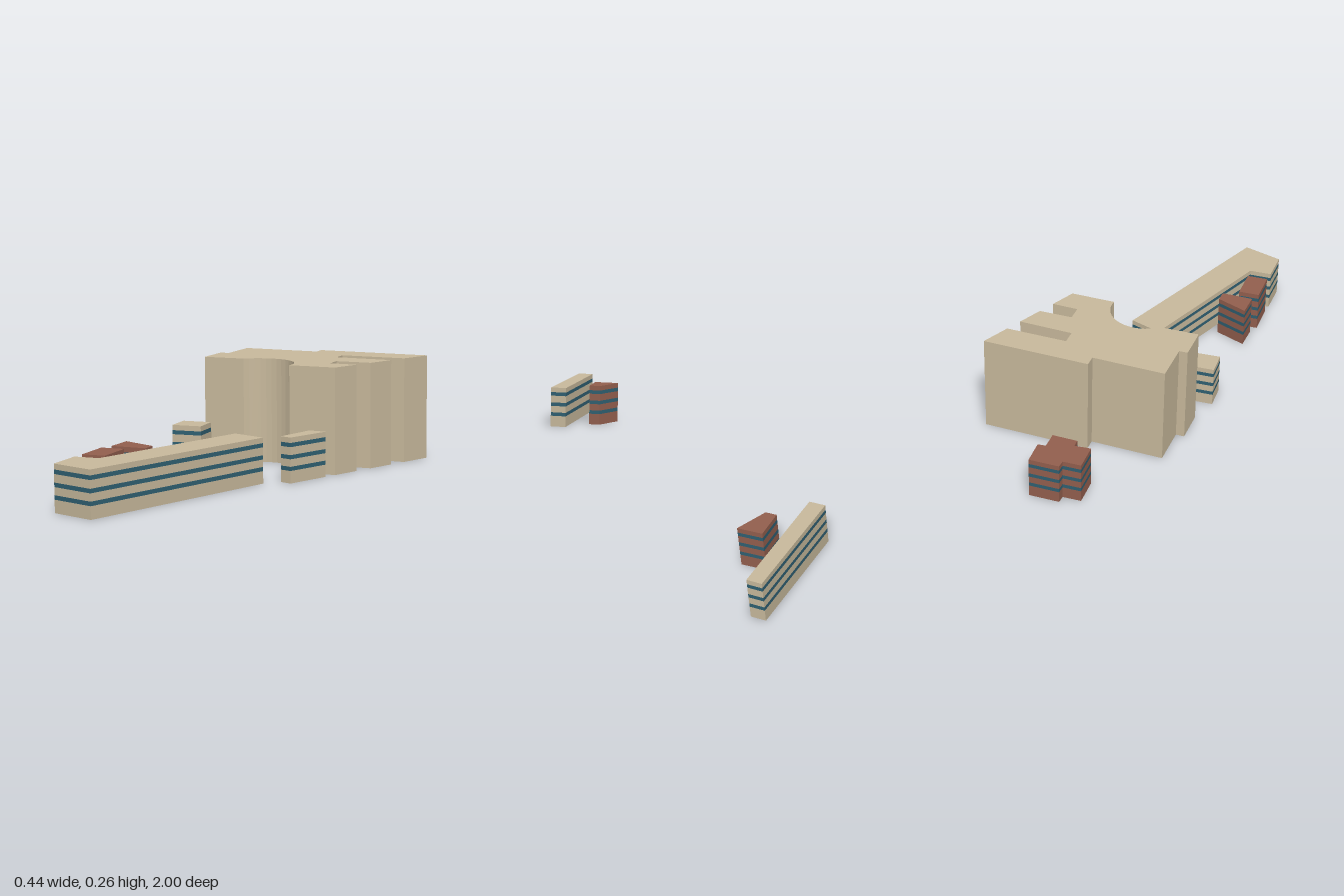
import * as THREE from 'three';
import { mergeGeometries } from 'three/addons/utils/BufferGeometryUtils.js';

const stone = new THREE.MeshStandardMaterial({ color: 0xc8b99c });
const brick = new THREE.MeshStandardMaterial({ color: 0x935f4e });
const glass = new THREE.MeshStandardMaterial({ color: 0x2f6072 });

const LOW = 0.11, TALL = 0.262;
const WINDOWS = [[0.03, 0.04], [0.058, 0.068], [0.087, 0.097]];

// Footprint [x, z] pairs -> counter-clockwise points as seen from above
function outline(plan) {
  const pts = plan.map(([x, z]) => new THREE.Vector2(x, -z));
  return THREE.ShapeUtils.isClockWise(pts) ? pts.reverse() : pts;
}

// Upright wall strip around an outline, between two heights
function wall(pts, y0, y1) {
  const pos = [];
  pts.forEach((a, i) => {
    const b = pts[(i + 1) % pts.length];
    const p = (v, y) => [v.x, y, -v.y];
    pos.push(...p(a, y0), ...p(b, y0), ...p(b, y1), ...p(a, y0), ...p(b, y1), ...p(a, y1));
  });
  const g = new THREE.BufferGeometry();
  g.setAttribute('position', new THREE.Float32BufferAttribute(pos, 3));
  g.computeVertexNormals();
  return g;
}

// Flat roof or floor filling an outline
function cap(pts, y, up) {
  const g = new THREE.ShapeGeometry(new THREE.Shape(pts));
  g.rotateX(-Math.PI / 2).translate(0, y, 0);
  if (!up) g.setIndex(Array.from(g.index.array).reverse());
  const flat = g.toNonIndexed();
  flat.deleteAttribute('uv');
  flat.computeVertexNormals();
  return flat;
}

// Closed block with optional flush window bands
function building(name, plan, height, material, bands = []) {
  const pts = outline(plan);
  const solid = [cap(pts, 0, false), cap(pts, height, true)];
  let y = 0;
  for (const [y0, y1] of bands) {
    solid.push(wall(pts, y, y0));
    y = y1;
  }
  solid.push(wall(pts, y, height));

  const group = new THREE.Group();
  group.name = name;
  const body = new THREE.Mesh(mergeGeometries(solid), material);
  body.name = name + 'Body';
  group.add(body);
  if (bands.length) {
    const strips = new THREE.Mesh(mergeGeometries(bands.map(([a, b]) => wall(pts, a, b))), glass);
    strips.name = name + 'Windows';
    group.add(strips);
  }
  return group;
}

export function createModel() {
  const model = new THREE.Group();
  model.name = 'buildingComplex';

  // Concave round forecourt on the front of the main hall
  const bay = [];
  for (let i = 0; i <= 16; i++) {
    const t = Math.PI + 0.39 + (i / 16) * (Math.PI - 0.66);
    bay.push([0.021 + 0.092 * Math.cos(t), 0.325 + 0.092 * Math.sin(t)]);
  }

  // Tall hall with two slots cut into its right-hand end
  model.add(building('mainHall', [
    [0.22, -0.077], [-0.05, 0.03], [-0.037, 0.06], [-0.22, 0.132],
    [-0.176, 0.237], [-0.197, 0.246], [-0.16, 0.333],
    ...bay,
    [0.22, 0.255], [0.22, 0.18], [0.155, 0.205], [0.137, 0.165],
    [0.22, 0.13], [0.22, 0.056], [0.083, 0.108], [0.066, 0.07], [0.22, 0.008],
  ], TALL, stone));

  // Low blocks with ribbon windows
  const lowBlocks = [
    ['longWing', stone, [[0.083, 0.455], [0.174, 0.45], [0.207, 0.99], [0.094, 1.0], [0.057, 0.915], [0.112, 0.89]]],
    ['sideBlock', stone, [[0.178, 0.3], [0.22, 0.287], [0.22, 0.405], [0.19, 0.407]]],
    ['smallPavilion', stone, [[-0.152, 0.413], [-0.085, 0.381], [-0.055, 0.442], [-0.122, 0.475]]],
    ['rearBar', stone, [[0.015, -0.985], [0.052, -1.0], [0.177, -0.71], [0.138, -0.693]]],
    ['rearBrickBlock', brick, [[0.16, -0.868], [0.22, -0.896], [0.22, -0.81], [0.193, -0.798]]],
    ['steppedBrickBlock', brick, [
      [-0.195, -0.147], [-0.15, -0.167], [-0.158, -0.188], [-0.083, -0.22], [-0.053, -0.157],
      [-0.072, -0.147], [-0.052, -0.102], [-0.115, -0.077], [-0.124, -0.097], [-0.163, -0.077]]],
    ['frontBrickBlockA', brick, [[-0.018, 0.705], [0.075, 0.705], [0.088, 0.737], [0.008, 0.77]]],
    ['frontBrickBlockB', brick, [[0.008, 0.8], [0.06, 0.776], [0.098, 0.862], [0.047, 0.886]]],
  ];
  for (const [name, material, plan] of lowBlocks) {
    model.add(building(name, plan, LOW, material, WINDOWS));
  }
  return model;
}
